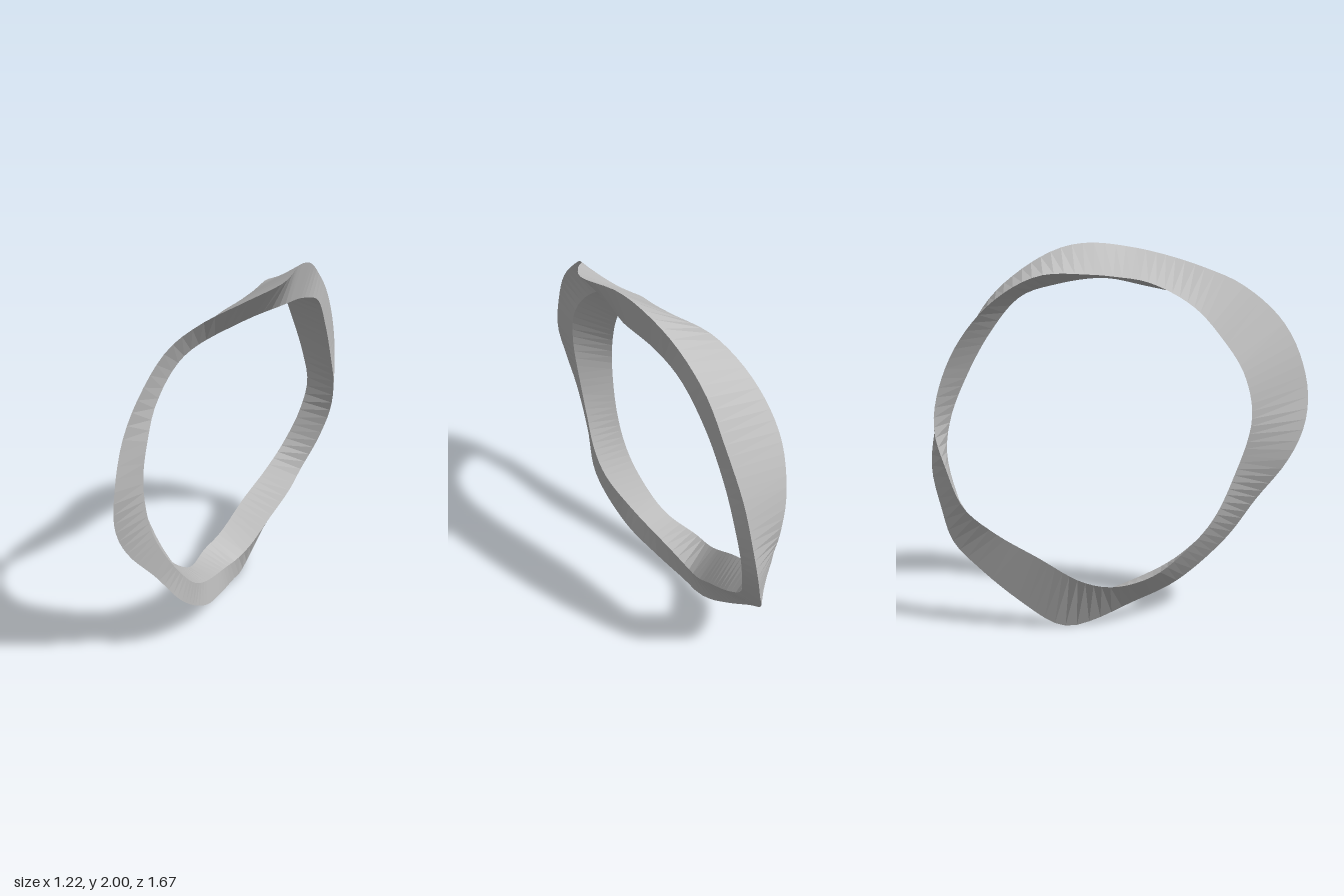
import * as THREE from 'three';

// The band is a closed loop with a triangular section; these are its three ridges (x, y, z).
const BACK = [
  [0.07, 1.82, -0.13], [0.18, 1.81, -0.38], [0.27, 1.68, -0.6], [0.35, 1.47, -0.76],
  [0.43, 1.22, -0.83], [0.465, 1.03, -0.83], [0.42, 0.85, -0.8], [0.32, 0.65, -0.76],
  [0.2, 0.52, -0.65], [0.05, 0.4, -0.5], [-0.1, 0.27, -0.33], [-0.2, 0.24, -0.2],
  [-0.27, 0.27, 0], [-0.32, 0.35, 0.13], [-0.4, 0.53, 0.3], [-0.46, 0.76, 0.4],
  [-0.53, 1.08, 0.46], [-0.5, 1.31, 0.43], [-0.41, 1.5, 0.35], [-0.3, 1.66, 0.25],
  [-0.12, 1.78, 0.11], [0, 1.81, -0.02],
];
const RIM = [
  [0.28, 2.0, 0.05], [0.35, 1.97, -0.1], [0.42, 1.87, -0.28], [0.5, 1.71, -0.45],
  [0.56, 1.5, -0.57], [0.6, 1.25, -0.68], [0.612, 1.0, -0.745], [0.595, 0.82, -0.775],
  [0.51, 0.62, -0.775], [0.42, 0.46, -0.765], [0.3, 0.32, -0.68], [0.17, 0.15, -0.53],
  [0.06, 0.02, -0.38], [0.02, 0, -0.3], [-0.03, 0.02, -0.2], [-0.1, 0.085, 0],
  [-0.2, 0.18, 0.25], [-0.33, 0.4, 0.5], [-0.45, 0.62, 0.6], [-0.57, 0.84, 0.72],
  [-0.61, 1.02, 0.8], [-0.6, 1.21, 0.838], [-0.555, 1.45, 0.79], [-0.48, 1.62, 0.71],
  [-0.35, 1.78, 0.56], [-0.2, 1.86, 0.46], [0, 1.93, 0.38], [0.18, 1.98, 0.27],
];
const INNER = [
  [0.2, 1.81, 0.07], [0.33, 1.775, -0.15], [0.43, 1.71, -0.31], [0.5, 1.52, -0.46],
  [0.56, 1.28, -0.58], [0.597, 1.08, -0.65], [0.59, 0.9, -0.685], [0.52, 0.7, -0.68],
  [0.42, 0.52, -0.65], [0.34, 0.42, -0.56], [0.2, 0.29, -0.43], [0.08, 0.185, -0.31],
  [0, 0.15, -0.23], [-0.07, 0.185, -0.1], [-0.2, 0.3, 0.2], [-0.27, 0.44, 0.4],
  [-0.33, 0.57, 0.5], [-0.41, 0.75, 0.58], [-0.46, 0.92, 0.635], [-0.48, 1.2, 0.68],
  [-0.45, 1.4, 0.65], [-0.41, 1.53, 0.57], [-0.28, 1.68, 0.38], [0, 1.77, 0.18],
];
const STATIONS = 110;

// Clockwise angle of a point around the middle of the loop, in the loop's own plane
const angleOf = (p) => Math.atan2((p.x - p.z) * Math.SQRT1_2, p.y - 1);

// Resample a ridge at equal angles so the three ridges line up
function resample(points) {
  const curve = new THREE.CatmullRomCurve3(points.map((p) => new THREE.Vector3(...p)), true);
  const dense = curve.getPoints(1200);
  return Array.from({ length: STATIONS }, (_, i) => {
    const target = -Math.PI + (2 * Math.PI * (i + 0.5)) / STATIONS;
    let best = dense[0], bestGap = Infinity;
    for (const p of dense) {
      const gap = Math.abs(angleOf(p) - target);
      if (gap < bestGap) { bestGap = gap; best = p; }
    }
    return best;
  });
}

// Faceted strip between two neighbouring ridges
function strip(name, p, q, material) {
  const corners = [];
  for (let i = 0; i < STATIONS; i++) {
    const j = (i + 1) % STATIONS;
    corners.push(p[i], q[i], q[j], p[i], q[j], p[j]);
  }
  const geometry = new THREE.BufferGeometry().setFromPoints(corners);
  geometry.computeVertexNormals();
  const mesh = new THREE.Mesh(geometry, material);
  mesh.name = name;
  return mesh;
}

export function createModel() {
  const group = new THREE.Group();
  group.name = 'twistedBand';
  const grey = new THREE.MeshStandardMaterial({ color: 0xbfbfbf });
  grey.name = 'grey';

  const [back, rim, inner] = [BACK, RIM, INNER].map(resample);
  group.add(
    strip('frontFace', rim, inner, grey),
    strip('innerFace', inner, back, grey),
    strip('outerFace', back, rim, grey),
  );
  return group;
}
